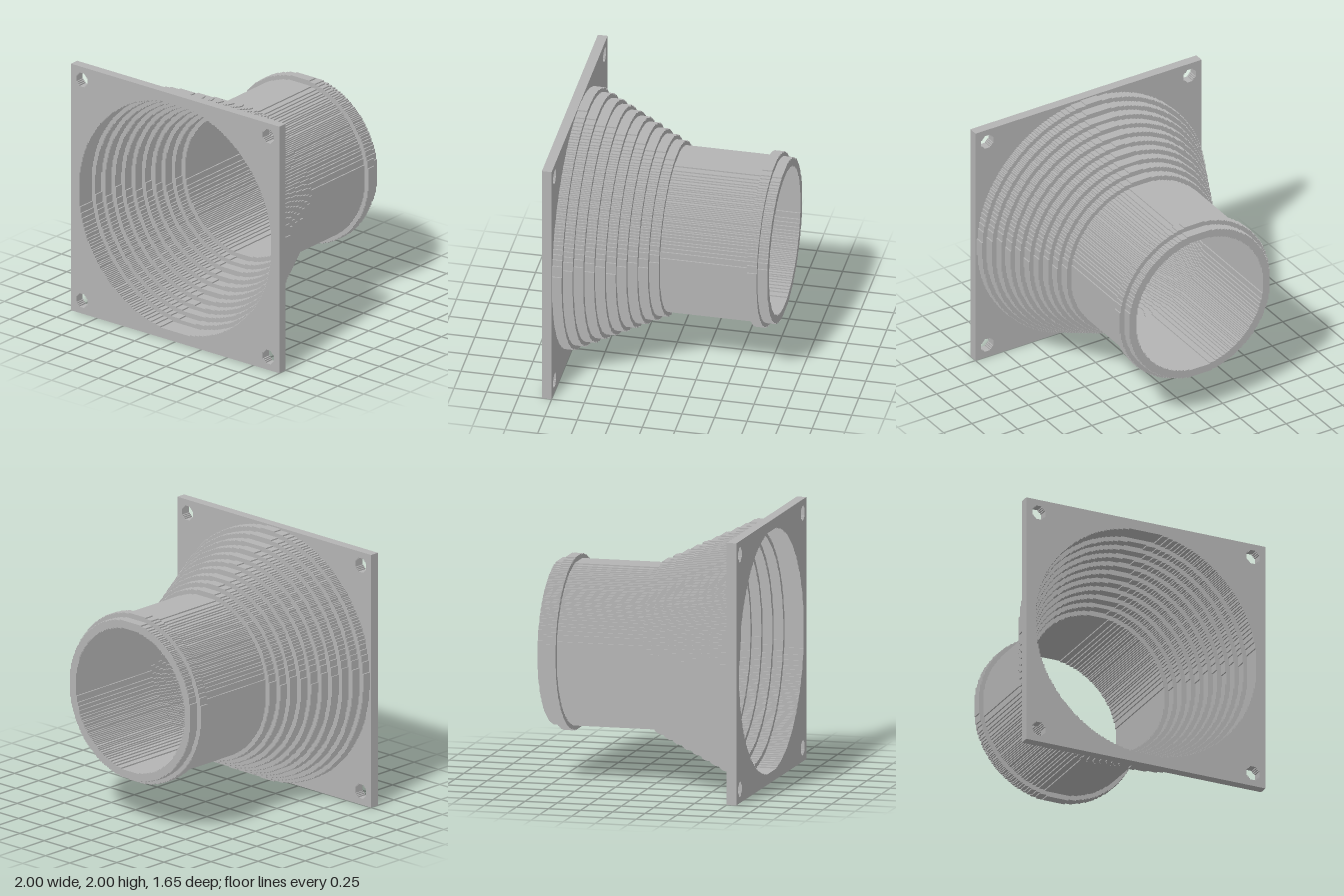
import * as THREE from 'three';

const CELL = 0.01;    // grid step of the stair-stepped circles
const LAYER = 0.075;  // thickness of one slab
const BACK = -0.825;  // z of the rear end
const STEPS = 10;     // slabs in the cone

// Outline of a circle snapped to square cells. phase 0.5 puts its centre
// on a cell corner, phase 0 in the middle of a cell.
function stairCircle(r, cx, cy, phase) {
  const n = Math.floor(r / CELL - phase - 1e-6);
  const right = [];
  let last = null;
  for (let j = -n - 2 * phase; j <= n; j++) {
    const y = (j + phase) * CELL;
    const s = Math.sqrt(r * r - y * y);
    const w = (Math.floor(s / CELL - phase - 1e-6) + phase + 0.5) * CELL;
    const y0 = y - CELL / 2;
    if (last === null) right.push([w, y0]);
    else if (Math.abs(w - last) > 1e-6) right.push([last, y0], [w, y0]);
    last = w;
  }
  right.push([last, (n + phase + 0.5) * CELL]);
  const left = right.map(([x, y]) => [-x, y]).reverse();
  return [...right, ...left].map(([x, y]) => new THREE.Vector2(x + cx, y + cy));
}

export function createModel() {
  const group = new THREE.Group();
  const grey = new THREE.MeshStandardMaterial({ color: 0xb4b4b4 });
  grey.name = 'plastic grey';

  // Extrude an outline with holes along z and set it upright around y = 1
  function slab(name, outline, holes, z0, z1) {
    const shape = new THREE.Shape(outline);
    shape.holes = holes.map((h) => new THREE.Path(h));
    const geometry = new THREE.ExtrudeGeometry(shape, { depth: z1 - z0, bevelEnabled: false });
    const mesh = new THREE.Mesh(geometry, grey);
    mesh.name = name;
    mesh.position.set(0, 1, z0);
    group.add(mesh);
  }

  const innerRadius = (k) => 0.5625 + 0.03625 * k;
  const wall = 0.0625;
  const ring = (name, inner, outer, z0, z1) =>
    slab(name, stairCircle(outer, 0, 0, 0.5), [stairCircle(inner, 0, 0, 0.5)], z0, z1);

  // Square mounting plate with the large opening and four screw holes
  const square = [[-1, -1], [1, -1], [1, 1], [-1, 1]].map(([x, y]) => new THREE.Vector2(x, y));
  const openings = [stairCircle(innerRadius(STEPS), 0, 0, 0.5)];
  for (const x of [-0.895, 0.895]) {
    for (const y of [-0.895, 0.895]) openings.push(stairCircle(0.055, x, y, 0));
  }
  slab('mountingPlate', square, openings, STEPS * LAYER, (STEPS + 1) * LAYER);

  // Stepped cone, one ring per slab
  for (let k = 1; k <= STEPS; k++) {
    ring(`coneStep${k}`, innerRadius(k), innerRadius(k) + wall, (k - 1) * LAYER, k * LAYER);
  }

  // Straight pipe, interrupted by the raised rim near its end
  const tubeInner = innerRadius(0);
  const tubeOuter = tubeInner + wall;
  ring('pipe', tubeInner, tubeOuter, BACK + 2 * LAYER, 0);
  ring('pipeRim', tubeInner, innerRadius(1) + wall, BACK + LAYER, BACK + 2 * LAYER);
  ring('pipeEnd', tubeInner, tubeOuter, BACK, BACK + LAYER);

  return group;
}
